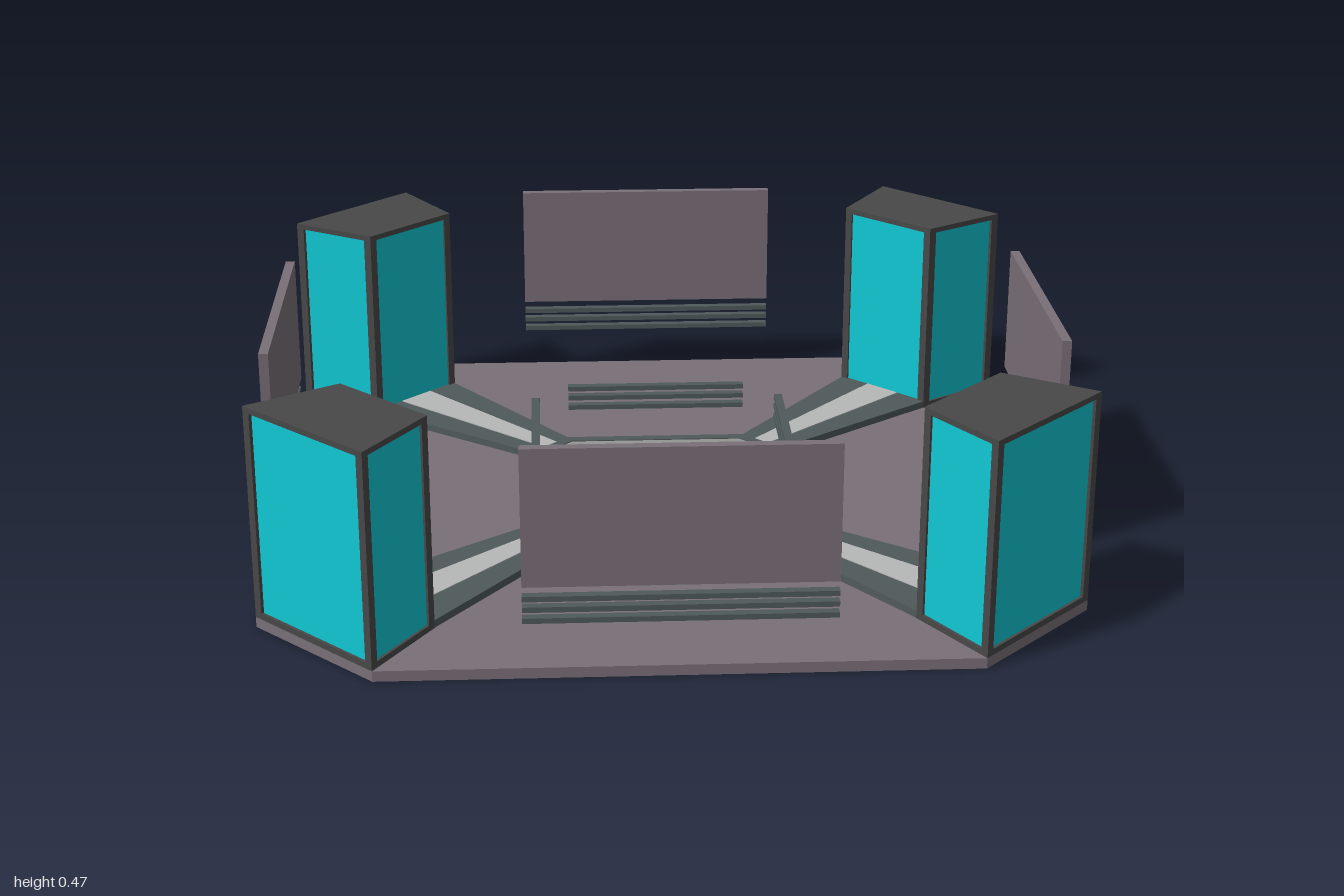
import * as THREE from 'three';

const mat = (color) => new THREE.MeshStandardMaterial({ color, flatShading: true });

// Upright prism from a plan outline of [x, z] points
function prism(name, points, y0, y1, material, hole) {
  const toVec = ([x, z]) => new THREE.Vector2(x, -z);
  const shape = new THREE.Shape(points.map(toVec));
  if (hole) shape.holes.push(new THREE.Path(hole.map(toVec)));
  const geo = new THREE.ExtrudeGeometry(shape, { depth: y1 - y0, bevelEnabled: false });
  geo.rotateX(-Math.PI / 2).translate(0, y0, 0);
  const mesh = new THREE.Mesh(geo, material);
  mesh.name = name;
  return mesh;
}

// Square with its corners cut: a is the half width of the cut, r the reach
const octagon = (a, r) => [[a, r], [r, a], [r, -a], [a, -r], [-a, -r], [-r, -a], [-r, a], [-a, r]];

// Symmetric trapezoid along z
const trapezoid = (w0, z0, w1, z1) => [[-w0, z0], [w0, z0], [w1, z1], [-w1, z1]];

export function createModel() {
  const purple = mat(0x7a7078), dark = mat(0x484848), slate = mat(0x505a5b);
  const light = mat(0xb6b8b7), grey = mat(0x949694), cyan = mat(0x10c8d4);
  const model = new THREE.Group();
  model.name = 'arena';

  // Floor and raised centre
  model.add(prism('base', octagon(0.172, 1), 0, 0.022, purple));
  model.add(prism('centreRim', octagon(0.058, 0.342), 0.022, 0.04, slate, octagon(0.048, 0.32)));
  model.add(prism('centrePlate', octagon(0.048, 0.32), 0.022, 0.038, grey));

  // Corner tower: framed panels on all four sides
  function tower() {
    const g = new THREE.Group();
    g.name = 'tower';
    const zi = 0.795, wi = 0.125, wo = 0.172, t = 0.018, d = 0.006;
    const half = (z) => wi + (wo - wi) * (z - zi) / (1 - zi);
    const outline = trapezoid(wi, zi, wo, 1);
    g.add(prism('towerFoot', outline, 0.022, 0.035, dark));
    g.add(prism('towerCap', outline, 0.458, 0.47, dark));
    g.add(prism('towerPanels', trapezoid(half(zi + d) - d, zi + d, half(1 - d) - d, 1 - d), 0.035, 0.458, cyan));
    for (const s of [-1, 1]) {
      for (const [z0, z1] of [[zi, zi + t], [1 - t, 1]]) {
        const post = [[half(z0), z0], [half(z1), z1], [half(z1) - t, z1], [half(z0) - t, z0]];
        g.add(prism('towerPost', post.map(([x, z]) => [s * x, z]), 0.035, 0.458, dark));
      }
    }
    return g;
  }

  // Walkway from the centre to a tower
  function walkway() {
    const g = new THREE.Group();
    g.name = 'walkway';
    g.add(prism('walkwayBed', trapezoid(0.058, 0.335, 0.125, 0.8), 0.022, 0.038, slate));
    g.add(prism('walkwayStrip', trapezoid(0.02, 0.342, 0.045, 0.797), 0.03, 0.04, light));
    return g;
  }

  // Three floating rails, outer face at distance r
  function rails(name, length, r) {
    const g = new THREE.Group();
    g.name = name;
    for (const y of [0.12, 0.143, 0.165]) {
      const rail = new THREE.Mesh(new THREE.BoxGeometry(length, 0.011, 0.018), slate);
      rail.name = 'rail';
      rail.position.set(0, y, r - 0.009);
      g.add(rail);
    }
    return g;
  }

  // Floating screen on a diagonal edge, with rails below and by the centre
  function barrier() {
    const g = new THREE.Group();
    g.name = 'barrier';
    const screen = new THREE.Mesh(new THREE.BoxGeometry(0.6, 0.28, 0.02), purple);
    screen.name = 'screen';
    screen.position.set(0, 0.33, 0.818);
    g.add(screen, rails('outerRails', 0.6, 0.828), rails('innerRails', 0.4, 0.283));
    return g;
  }

  // Repeat around the four sides and four diagonals
  for (let i = 0; i < 4; i++) {
    const side = new THREE.Group();
    side.name = 'side';
    side.add(tower(), walkway());
    side.rotation.y = i * Math.PI / 2;
    const diagonal = barrier();
    diagonal.rotation.y = (i + 0.5) * Math.PI / 2;
    model.add(side, diagonal);
  }
  return model;
}
